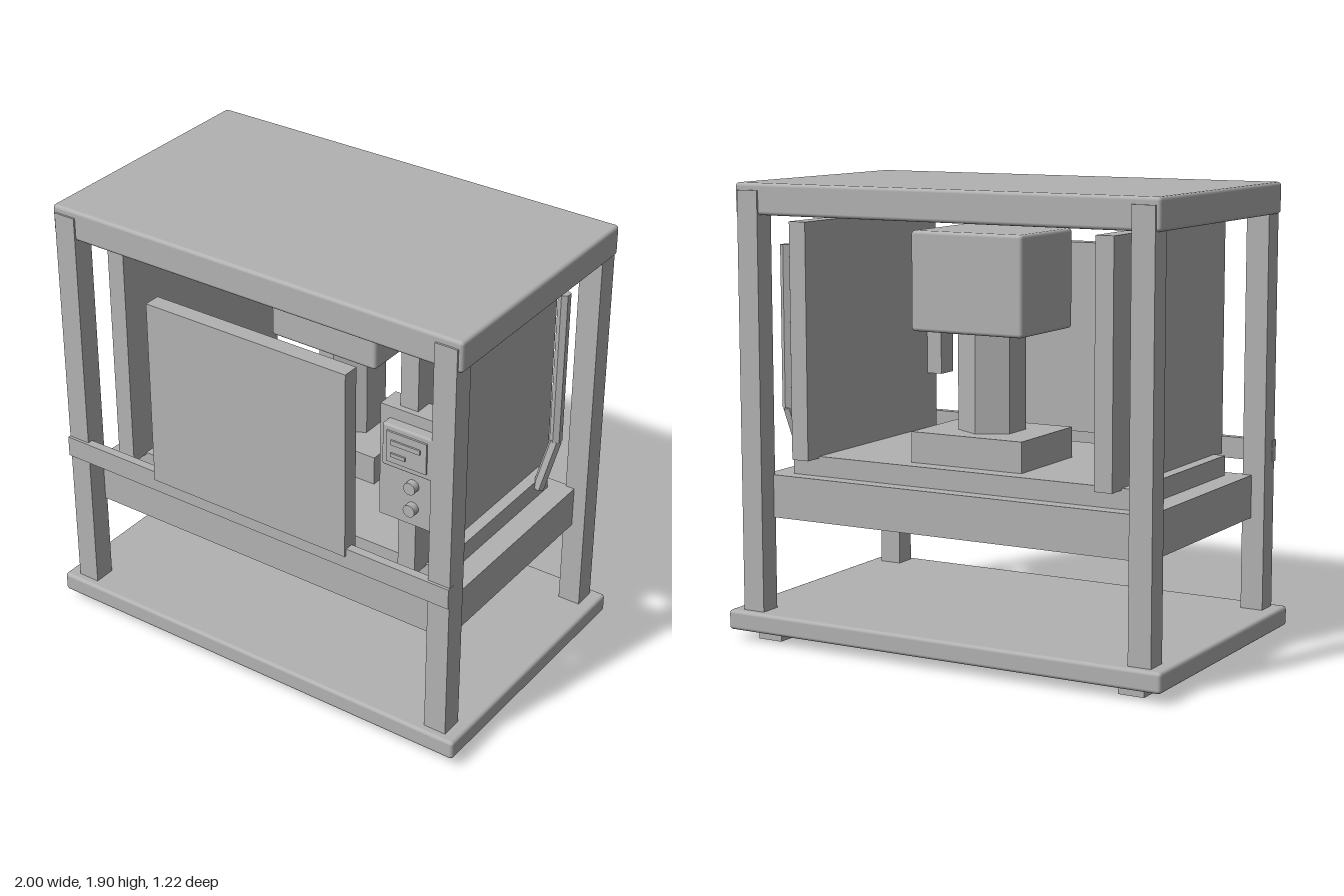
import * as THREE from 'three';
import { RoundedBoxGeometry } from 'three/addons/geometries/RoundedBoxGeometry.js';

const grey = new THREE.MeshStandardMaterial({ color: 0xb2b2b2 });
grey.name = 'plain grey';

export function createModel() {
  const model = new THREE.Group();
  model.name = 'pressMachine';

  const add = (name, geometry) => {
    const mesh = new THREE.Mesh(geometry, grey);
    mesh.name = name;
    model.add(mesh);
    return mesh;
  };
  // Box given by its limits on each axis; a bevel softens the edges
  const box = (name, [x0, x1], [y0, y1], [z0, z1], bevel = 0) => {
    const size = [x1 - x0, y1 - y0, z1 - z0];
    const geo = bevel ? new RoundedBoxGeometry(...size, 2, bevel) : new THREE.BoxGeometry(...size);
    add(name, geo).position.set((x0 + x1) / 2, (y0 + y1) / 2, (z0 + z1) / 2);
  };
  const centred = (half) => [-half, half];
  const span = (side, a, b) => (side > 0 ? [a, b] : [-b, -a]);
  // Hexagonal rod between two points
  const rod = (name, a, b, radius) => {
    const dir = b.clone().sub(a);
    const mesh = add(name, new THREE.CylinderGeometry(radius, radius, dir.length(), 6).toNonIndexed());
    mesh.geometry.computeVertexNormals();
    mesh.position.copy(a).add(b).multiplyScalar(0.5);
    mesh.quaternion.setFromUnitVectors(new THREE.Vector3(0, 1, 0), dir.normalize());
  };

  // Base and roof slabs
  box('base', centred(1), [0.043, 0.127], centred(0.61), 0.015);
  box('roof', centred(0.96), [1.775, 1.905], centred(0.567), 0.015);

  // Feet, corner posts and side panels
  for (const sx of [-1, 1]) {
    for (const sz of [-1, 1]) {
      box('foot', span(sx, 0.785, 0.897), [0, 0.05], span(sz, 0.43, 0.537));
      box('post', span(sx, 0.845, 0.943), [0.12, 1.875], span(sz, 0.479, 0.575));
    }
    box('sidePanel', span(sx, 0.66, 0.738), [0.77, 1.75], centred(0.505));
  }

  // Work table: thick bed with a smaller plate on it
  box('tableBed', centred(0.885), [0.515, 0.695], centred(0.49));
  box('tablePlate', centred(0.788), [0.69, 0.778], centred(0.424));

  // Front rail and sliding door
  box('frontRail', centred(0.945), [0.745, 0.835], [0.55, 0.587]);
  box('door', centred(0.474), [0.803, 1.624], [0.525, 0.597]);

  // Press: plinth, hexagonal column and head
  const pressZ = [-0.35, 0.075];
  box('pressPlinth', centred(0.256), [0.77, 0.905], pressZ);
  rod('pressColumn', new THREE.Vector3(0, 0.9, -0.138), new THREE.Vector3(0, 1.33, -0.138), 0.138);
  box('pressHead', centred(0.256), [1.315, 1.722], pressZ, 0.015);

  // Control box with display and buttons
  box('controlBox', [0.588, 0.888], [1.022, 1.512], [0.43, 0.53]);
  box('displayBezel', [0.625, 0.853], [1.28, 1.463], [0.52, 0.575], 0.01);
  box('displayScreen', [0.65, 0.828], [1.308, 1.44], [0.574, 0.583]);
  box('displayLineLong', [0.673, 0.803], [1.388, 1.408], [0.582, 0.59]);
  box('displayLineShort', [0.673, 0.738], [1.336, 1.352], [0.582, 0.59]);
  for (const y of [1.2, 1.1]) {
    const button = add('button', new THREE.CylinderGeometry(0.026, 0.026, 0.04, 20));
    button.rotation.x = Math.PI / 2;
    button.position.set(0.74, y, 0.54);
  }

  // Bent side lever
  const bend = new THREE.Vector3(0.836, 0.965, -0.385);
  rod('leverUpper', bend, new THREE.Vector3(0.836, 1.645, -0.385), 0.026);
  rod('leverLower', bend, new THREE.Vector3(0.792, 0.742, -0.337), 0.026);

  return model;
}
